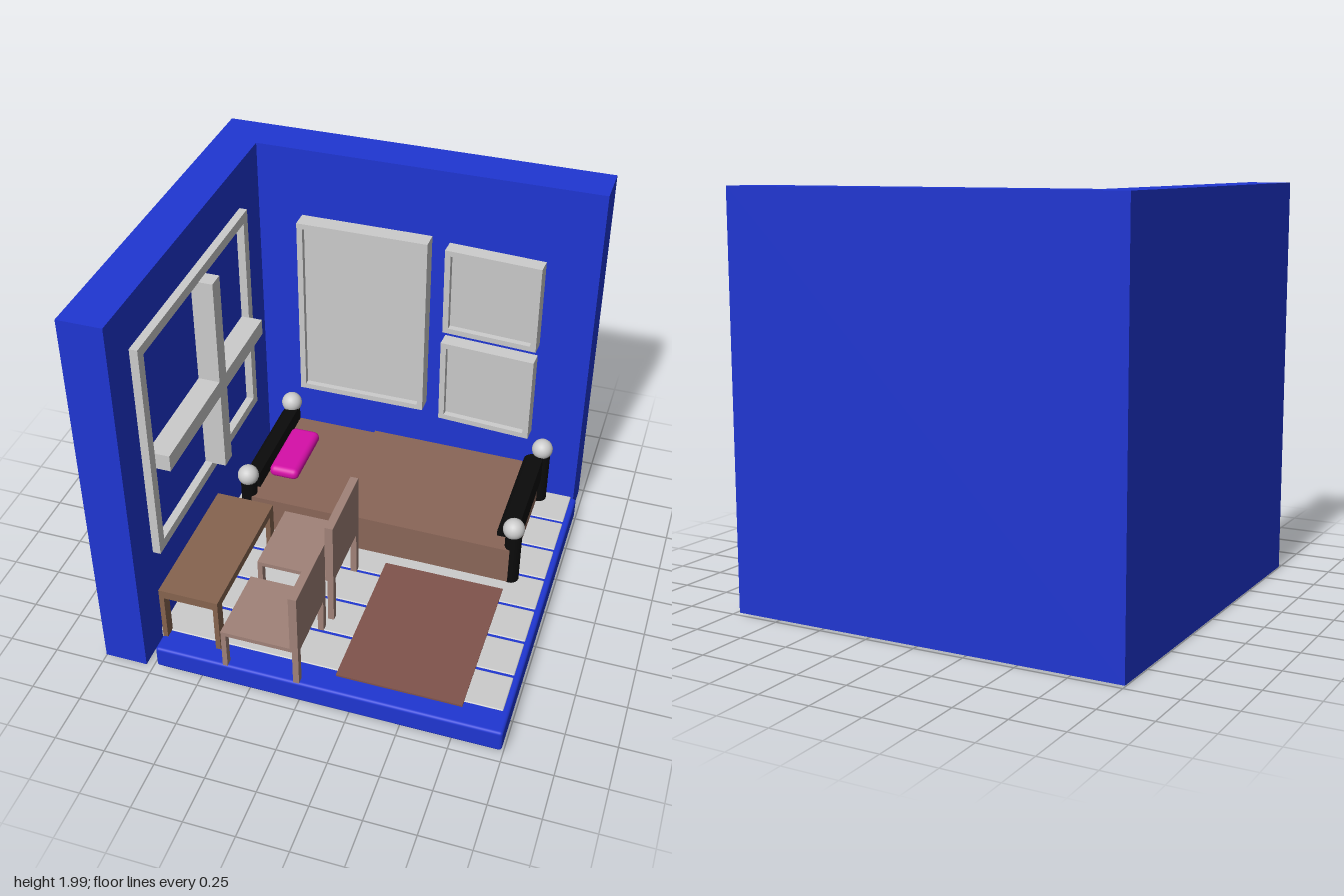
import * as THREE from 'three';
import { RoundedBoxGeometry } from 'three/addons/geometries/RoundedBoxGeometry.js';

const material = (color) => new THREE.MeshStandardMaterial({ color });
const blue = material(0x1f36d2), grey = material(0xcccccc), black = material(0x0b0b0b);
const bedBrown = material(0x8a6658), deskBrown = material(0x86644f), chairBrown = material(0xa08278);
const rugRed = material(0x80534c), pink = material(0xd60fa8);

function add(parent, name, geometry, mat, x = 0, y = 0, z = 0) {
  const mesh = new THREE.Mesh(geometry, mat);
  mesh.name = name;
  mesh.position.set(x, y, z);
  parent.add(mesh);
  return mesh;
}

// Box from its limits on each axis; a radius rounds its edges
function box(parent, name, mat, [x0, x1], [y0, y1], [z0, z1], radius = 0) {
  const size = [x1 - x0, y1 - y0, z1 - z0];
  const geometry = radius ? new RoundedBoxGeometry(...size, 3, radius) : new THREE.BoxGeometry(...size);
  return add(parent, name, geometry, mat, (x0 + x1) / 2, (y0 + y1) / 2, (z0 + z1) / 2);
}

function group(parent, name) {
  const g = new THREE.Group();
  g.name = name;
  parent.add(g);
  return g;
}

// Rectangular frame facing +z, centred on its origin, back at z = 0
function frameGeometry(w, h, border, depth) {
  const rect = (target, a, b) => {
    target.moveTo(-a, -b);
    target.lineTo(a, -b);
    target.lineTo(a, b);
    target.lineTo(-a, b);
    target.closePath();
    return target;
  };
  const shape = rect(new THREE.Shape(), w / 2, h / 2);
  shape.holes.push(rect(new THREE.Path(), w / 2 - border, h / 2 - border));
  return new THREE.ExtrudeGeometry(shape, { depth, bevelEnabled: false });
}

function picture(parent, name, w, h, x, y, z, depth, tiltX = 0, tiltY = 0) {
  const g = group(parent, name);
  add(g, 'pictureFrame', frameGeometry(w, h, 0.03, depth), grey);
  box(g, 'picturePanel', grey, [-w / 2 + 0.02, w / 2 - 0.02], [-h / 2 + 0.02, h / 2 - 0.02], [0.005, depth - 0.03]);
  g.position.set(x, y, z);
  g.rotation.set(tiltX, tiltY, 0);
}

// Chair facing -x, with its backrest on the +x side
function chair(parent, x0, x1, z0, z1, seatY, topY) {
  const g = group(parent, 'chair');
  box(g, 'chairSeat', chairBrown, [x0, x1], [seatY, seatY + 0.022], [z0, z1]);
  box(g, 'chairBack', chairBrown, [x1 - 0.04, x1], [seatY, topY], [z0, z1]);
  for (const z of [z0, z1 - 0.035]) {
    box(g, 'chairFrontLeg', chairBrown, [x0, x0 + 0.025], [0.155, seatY], [z, z + 0.035]);
    box(g, 'chairBackLeg', chairBrown, [x1 - 0.03, x1], [0.155, seatY], [z, z + 0.035]);
  }
}

// Bed-end panel: flat on the +x side, bulging towards -x
function bedPanel(parent, name, x0, x1, y0, y1) {
  const h = y1 - y0, bend = x1 - x0 - 0.05;
  const shape = new THREE.Shape();
  shape.moveTo(x1, y0);
  shape.lineTo(x1, y1);
  shape.lineTo(x0 + bend, y1);
  shape.bezierCurveTo(x0, y1 - h * 0.1, x0, y1 - h * 0.25, x0, y0 + h / 2);
  shape.bezierCurveTo(x0, y0 + h * 0.25, x0, y0 + h * 0.1, x0 + bend, y0);
  shape.closePath();
  const geometry = new THREE.ExtrudeGeometry(shape, { depth: 0.59, bevelEnabled: false, curveSegments: 8 });
  add(parent, name, geometry, black, 0, 0, -0.67);
}

export function createModel() {
  const model = new THREE.Group();
  model.name = 'bedroom';

  // Corner walls
  const plan = new THREE.Shape();
  [[-1, -0.955], [-0.785, -0.955], [-0.785, 0.765], [0.975, 0.765], [0.975, 0.98], [-1, 0.98]]
    .forEach(([x, y], i) => (i ? plan.lineTo(x, y) : plan.moveTo(x, y)));
  const walls = new THREE.ExtrudeGeometry(plan, { depth: 1.98, bevelEnabled: false });
  walls.rotateX(-Math.PI / 2);
  add(model, 'walls', walls, blue, 0, 0.01, 0);

  // Floor base and planks
  box(model, 'floorBase', blue, [-0.72, 0.995], [0.04, 0.16], [-0.74, 0.97], 0.015);
  const planks = group(model, 'floorPlanks');
  for (let i = 0; i < 7; i++) {
    const z = -0.74 + i * 0.2275;
    box(planks, 'plank', grey, [-0.745, 0.965], [0.05, 0.165], [z, z + 0.212], 0.006);
  }

  // Rug
  box(model, 'rug', rugRed, [0.165, 0.78], [0.16, 0.17], [0.07, 0.87]);

  // Window on the left wall: flat frame with deep crossing bars
  const windowGroup = group(model, 'window');
  const frame = add(windowGroup, 'windowFrame', frameGeometry(1.27, 1.175, 0.052, 0.04), grey, -0.785, 1.172, 0.125);
  frame.rotation.y = Math.PI / 2;
  box(windowGroup, 'windowPost', grey, [-0.785, -0.675], [0.632, 1.71], [0.024, 0.108]);
  box(windowGroup, 'windowBar', grey, [-0.785, -0.675], [1.068, 1.155], [-0.46, 0.705]);

  // Pictures on the back wall, the small ones slightly tilted
  picture(model, 'largePicture', 0.685, 1.02, -0.21, 1.115, -0.765, 0.09);
  picture(model, 'upperSmallPicture', 0.495, 0.495, 0.47, 1.357, -0.755, 0.075, 0.03, -0.065);
  picture(model, 'lowerSmallPicture', 0.495, 0.495, 0.47, 0.812, -0.745, 0.075, 0.03, -0.065);

  // Bed
  const bed = group(model, 'bed');
  box(bed, 'mattress', bedBrown, [-0.6, 0.78], [0.16, 0.365], [-0.705, 0.005]);
  const blanket = box(bed, 'blanket', bedBrown, [-0.14, 0.79], [0.17, 0.38], [-0.7, 0.01]);
  blanket.rotation.y = -0.008;
  box(bed, 'pillow', pink, [-0.565, -0.405], [0.355, 0.42], [-0.56, -0.185], 0.03);
  bedPanel(bed, 'headboard', -0.675, -0.572, 0.2, 0.455);
  bedPanel(bed, 'footboard', 0.7, 0.807, 0.315, 0.465);
  for (const [x, top] of [[-0.613, 0.475], [0.795, 0.49]]) {
    for (const z of [-0.69, -0.03]) {
      const post = new THREE.CylinderGeometry(0.042, 0.042, top - 0.17, 20);
      add(bed, 'bedPost', post, black, x, (top + 0.15) / 2, z);
      add(bed, 'bedKnob', new THREE.SphereGeometry(0.055, 24, 16), grey, x - 0.003, top, z - 0.003);
    }
  }

  // Desk
  const desk = group(model, 'desk');
  box(desk, 'deskTop', deskBrown, [-0.715, -0.415], [0.42, 0.465], [0.14, 0.88]);
  for (const x of [-0.715, -0.44]) {
    for (const [z0, z1] of [[0.14, 0.19], [0.825, 0.88]]) {
      box(desk, 'deskLeg', deskBrown, [x, x + 0.025], [0.005, 0.43], [z0, z1]);
    }
  }

  // Chairs
  chair(model, -0.35, 0.04, 0.14, 0.53, 0.42, 0.76);
  chair(model, -0.37, 0.015, 0.575, 0.965, 0.357, 0.7);

  return model;
}
